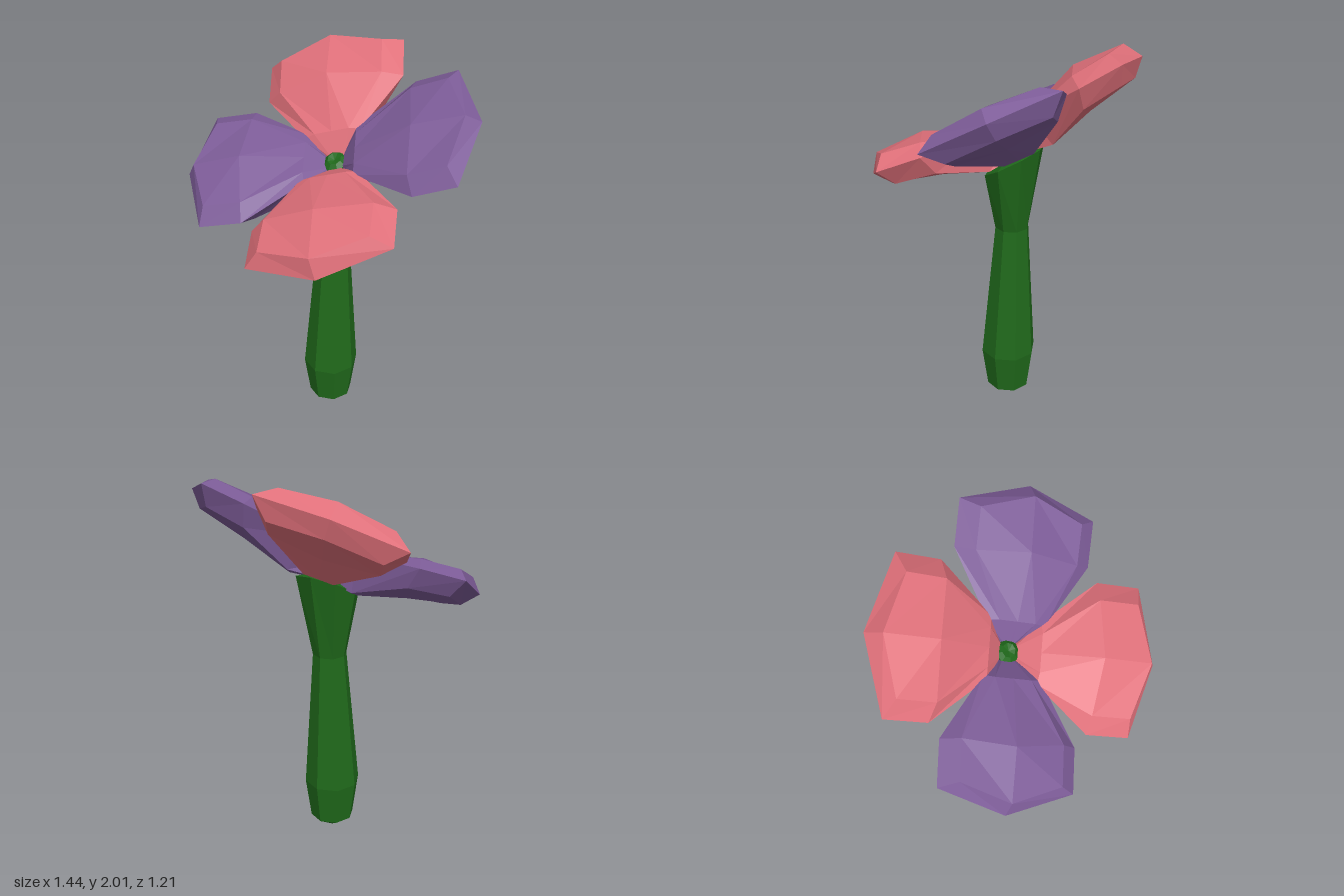
import * as THREE from 'three';

// Joins equal-length rings of points into a flat-shaded skin, skipping collapsed triangles.
function loft(rings) {
  const pos = [];
  const tri = (a, b, c) => {
    const n = b.clone().sub(a).cross(c.clone().sub(a));
    if (n.lengthSq() > 1e-12) for (const p of [a, b, c]) pos.push(p.x, p.y, p.z);
  };
  for (let i = 0; i < rings.length - 1; i++) {
    const lo = rings[i], hi = rings[i + 1];
    for (let j = 0; j < lo.length; j++) {
      const k = (j + 1) % lo.length;
      tri(lo[j], hi[k], lo[k]);
      tri(lo[j], hi[j], hi[k]);
    }
  }
  const g = new THREE.BufferGeometry();
  g.setAttribute('position', new THREE.Float32BufferAttribute(pos, 3));
  g.computeVertexNormals();
  return g;
}

const V = (x, y, z) => new THREE.Vector3(x, y, z);
const TILT = 0.53;

// Eight-sided ring, optionally tipped towards the front
function ring(x, y, z, r, tilt = 0) {
  return Array.from({ length: 8 }, (_, k) => {
    const a = k * Math.PI / 4;
    return V(r * Math.cos(a), 0, r * Math.sin(a))
      .applyAxisAngle(V(1, 0, 0), tilt).add(V(x, y, z));
  });
}

// Petal pointing along +x: rim, domed top and bottom, bevelled tip.
// e lengthens the blade, wide scales its width, dome scales its top.
function petalGeometry(e, wide, dome) {
  const section = ({ rim, top, bottom }) => {
    const [rs, rw, rn] = rim;
    const [ts, tw, tn, tms, tmn] = top;
    const [bs, bw, bn, bms, bmn] = bottom;
    return [
      V(rs, rn, rw), V(ts, tn, tw), V(tms, tmn, 0), V(ts, tn, -tw),
      V(rs, rn, -rw), V(bs, bn, -bw), V(bms, bmn, 0), V(bs, bn, bw),
    ];
  };
  const w = 0.36 * wide, inner = 0.27 * wide;
  const corner = [0.605 + e, w, 0];
  const tip = [...corner, 0.715 + e, 0];
  return loft([
    section({ rim: [0, 0, -0.15], top: [0, 0, -0.15, 0, -0.15], bottom: [0, 0, -0.15, 0, -0.15] }),
    section({ rim: [0.03, 0.035, -0.13], top: [0.03, 0.02, -0.115, 0.03, -0.115], bottom: [0.03, 0.03, -0.2, 0.03, -0.2] }),
    // claw resting on the collar of the stem
    section({ rim: [0.125, 0.145, -0.04], top: [0.13, 0.09, -0.025, 0.13, -0.025], bottom: [0.165, 0.075, -0.215, 0.175, -0.215] }),
    // widest part
    section({ rim: [0.39 + e, w, -0.02], top: [0.38 + e, inner, 0.045 * dome, 0.4 + e, 0.095 * dome], bottom: [0.37 + e, inner, -0.115, 0.39 + e, -0.14] }),
    section({ rim: corner, top: [0.57 + e, inner, 0.07 * dome, 0.655 + e, 0.09 * dome], bottom: [0.565 + e, inner, -0.085, 0.645 + e, -0.08] }),
    // bevel closing onto the rim
    section({ rim: corner, top: tip, bottom: tip }),
  ]);
}

export function createModel() {
  const model = new THREE.Group();
  const mat = color => new THREE.MeshStandardMaterial({ color, flatShading: true });
  const green = mat(0x206a1b), red = mat(0xe0707a), purple = mat(0x7d5c98);

  // Stem swelling at the foot, flaring into a tilted collar
  const stem = new THREE.Mesh(loft([
    ring(0.005, 0, -0.025, 0),
    ring(0.005, 0.08, -0.025, 0.115),
    ring(0.005, 0.3, -0.025, 0.145),
    ring(0.005, 1.05, -0.045, 0.087),
    ring(0.01, 1.415, -0.06, 0.165, TILT),
    ring(0.01, 1.47, -0.07, 0.06, TILT),
    ring(0.01, 1.47, -0.07, 0, TILT),
  ]), green);
  stem.name = 'stem';
  model.add(stem);

  // Small knob in the middle of the flower
  const hub = new THREE.Mesh(loft([
    ring(0.01, 1.45, -0.09, 0, TILT),
    ring(0.01, 1.48, -0.08, 0.06, TILT),
    ring(0.005, 1.54, -0.055, 0.06, TILT),
    ring(0.005, 1.56, -0.05, 0.035, TILT),
    ring(0.005, 1.55, -0.052, 0, TILT),
  ]), green);
  hub.name = 'flowerCentre';
  model.add(hub);

  // Four petals in two colours around the tipped axis
  const head = new THREE.Group();
  head.name = 'petals';
  head.position.set(0, 1.63, 0);
  head.rotation.set(TILT, 0, 0.085);
  const shapes = [petalGeometry(0, 1, 1), petalGeometry(0.035, 0.93, 0.75)];
  for (let i = 0; i < 4; i++) {
    const petal = new THREE.Mesh(shapes[i % 2], i % 2 ? purple : red);
    petal.name = i % 2 ? 'purplePetal' : 'redPetal';
    petal.rotation.y = -THREE.MathUtils.degToRad(61.3 + 90 * i);
    head.add(petal);
  }
  model.add(head);
  return model;
}
